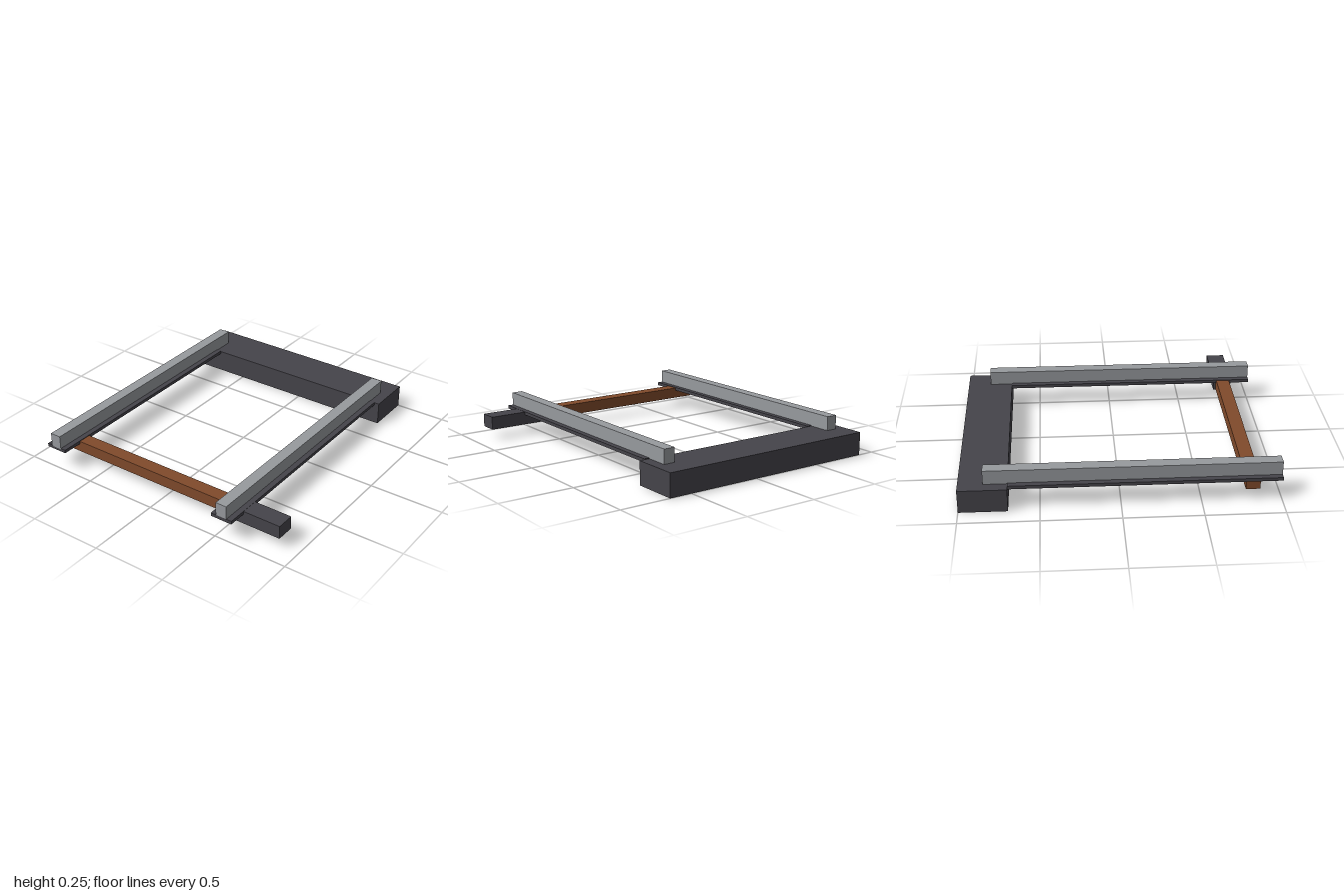
import * as THREE from 'three';

export function createModel() {
  const group = new THREE.Group();
  const mat = (name, color) => {
    const m = new THREE.MeshStandardMaterial({ color });
    m.name = name;
    return m;
  };
  const darkMetal = mat('darkMetal', 0x45444a);
  const steel = mat('steel', 0x979a9e);
  const copper = mat('copperBrown', 0x804a2b);

  // Box spanning [min, max] on each axis
  const box = (name, material, [x0, x1], [y0, y1], [z0, z1]) => {
    const mesh = new THREE.Mesh(new THREE.BoxGeometry(x1 - x0, y1 - y0, z1 - z0), material);
    mesh.position.set((x0 + x1) / 2, (y0 + y1) / 2, (z0 + z1) / 2);
    mesh.name = name;
    group.add(mesh);
  };

  // Heavy beam across the back
  box('rearBeam', darkMetal, [-0.885, 0.655], [0, 0.154], [-1, -0.695]);

  // Two rails, each on a flat base plate
  for (const [side, x] of [['right', -0.777], ['left', 0.547]]) {
    box(side + 'BasePlate', darkMetal, [x - 0.075, x + 0.075], [0.137, 0.159], [-0.695, 1]);
    box(side + 'Rail', steel, [x - 0.038, x + 0.038], [0.153, 0.248], [-0.845, 1]);
  }

  // Front cross bar and the block at its left end
  box('crossBar', copper, [-0.845, 0.495], [0.079, 0.155], [0.77, 0.86]);
  box('endBlock', darkMetal, [0.495, 0.88], [0.07, 0.158], [0.755, 0.877]);

  return group;
}
